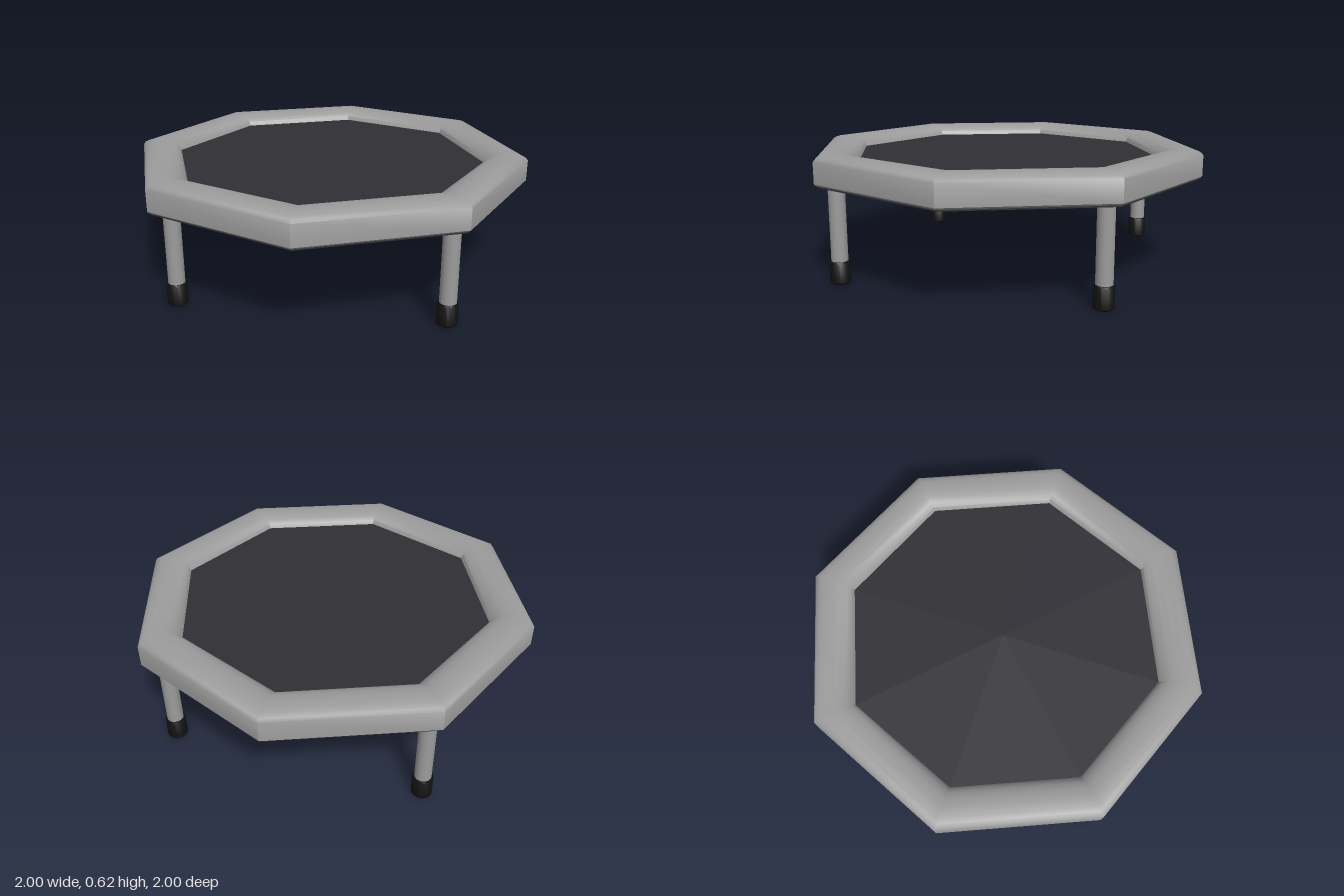
import * as THREE from 'three';
import { toCreasedNormals } from 'three/addons/utils/BufferGeometryUtils.js';

const SIDES = 8;

export function createModel() {
  const group = new THREE.Group();
  group.name = 'trampoline';

  const grey = new THREE.MeshStandardMaterial({ color: 0x9c9c9c });
  grey.name = 'grey';
  const charcoal = new THREE.MeshStandardMaterial({ color: 0x302f35 });
  charcoal.name = 'charcoal';
  const black = new THREE.MeshStandardMaterial({ color: 0x111112 });
  black.name = 'black';

  const add = (parent, name, geometry, material, y = 0) => {
    const mesh = new THREE.Mesh(geometry, material);
    mesh.name = name;
    mesh.position.y = y;
    parent.add(mesh);
    return mesh;
  };
  const lathe = (points, sides) =>
    new THREE.LatheGeometry(points.map(([r, y]) => new THREE.Vector2(r, y)), sides);

  // Padded rim: rounded profile swept around an octagon with mitred corners
  const rim = lathe([
    [0.99, 0.478], [1, 0.487], [1, 0.59], [0.99, 0.603], [0.972, 0.612], [0.95, 0.618],
    [0.9, 0.62], [0.855, 0.615], [0.825, 0.604], [0.802, 0.587], [0.79, 0.56],
  ], SIDES);
  add(group, 'paddedRim', toCreasedNormals(rim, 0.7), grey);

  // Jumping mat with its flat underside
  const mat = new THREE.CylinderGeometry(0.988, 0.985, 0.095, SIDES);
  add(group, 'mat', toCreasedNormals(mat, 0.5), charcoal, 0.5175);

  // Four legs with rubber feet
  const legGeometry = new THREE.CylinderGeometry(0.04, 0.04, 0.4, 24);
  const footGeometry = toCreasedNormals(lathe([
    [0, 0], [0.044, 0], [0.049, 0.006], [0.049, 0.1], [0.043, 0.11], [0, 0.11],
  ], 24), 0.6);
  for (let i = 0; i < 4; i++) {
    const leg = new THREE.Group();
    leg.name = 'leg' + (i + 1);
    const angle = (i * Math.PI) / 2;
    leg.position.set(Math.sin(angle) * 0.887, 0, Math.cos(angle) * 0.897);
    add(leg, 'legTube', legGeometry, grey, 0.29);
    add(leg, 'foot', footGeometry, black);
    group.add(leg);
  }

  return group;
}
